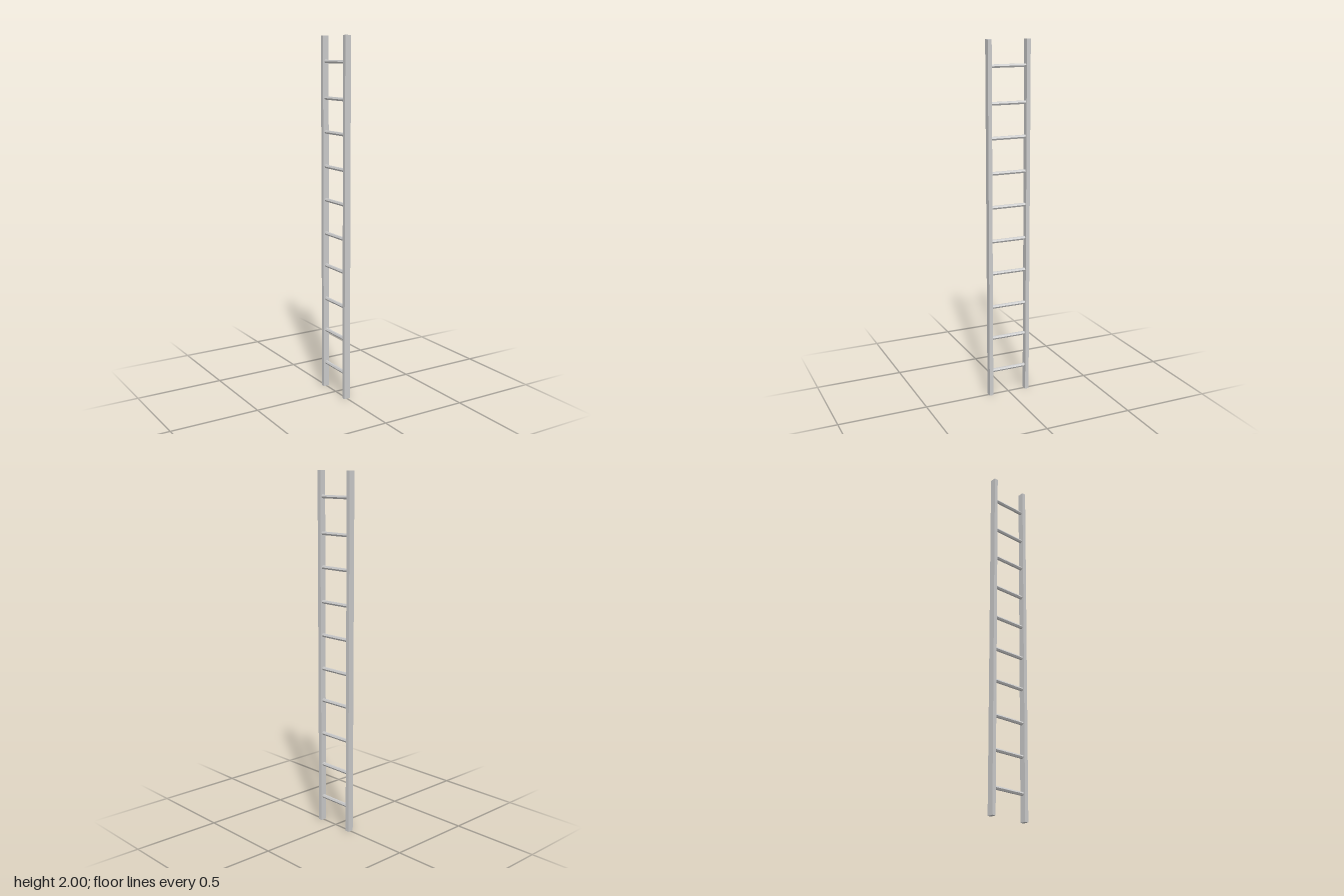
import * as THREE from 'three';

export function createModel() {
  const ladder = new THREE.Group();
  ladder.name = 'ladder';
  const material = new THREE.MeshStandardMaterial({ color: 0xcccccc, flatShading: true });

  const height = 2, railWidth = 0.035, railDepth = 0.022, railZ = 0.112;

  // Two upright rails, mirrored front to back
  const railGeometry = new THREE.BoxGeometry(railWidth, height, railDepth);
  for (const side of [1, -1]) {
    const rail = new THREE.Mesh(railGeometry, material);
    rail.name = side > 0 ? 'frontRail' : 'backRail';
    rail.position.set(0, height / 2, side * railZ);
    ladder.add(rail);
  }

  // Hexagonal rungs with flat tops, slightly unevenly spaced
  const rungGeometry = new THREE.CylinderGeometry(0.0105, 0.0105, railZ * 2 - railDepth + 0.004, 6, 1, false, Math.PI / 2);
  rungGeometry.rotateX(Math.PI / 2);
  const rungHeights = [0.146, 0.344, 0.53, 0.726, 0.911, 1.102, 1.481, 1.29, 1.666, 1.862];
  rungHeights.forEach((y, i) => {
    const rung = new THREE.Mesh(rungGeometry, material);
    rung.name = `rung${i + 1}`;
    rung.position.y = y;
    ladder.add(rung);
  });

  return ladder;
}
